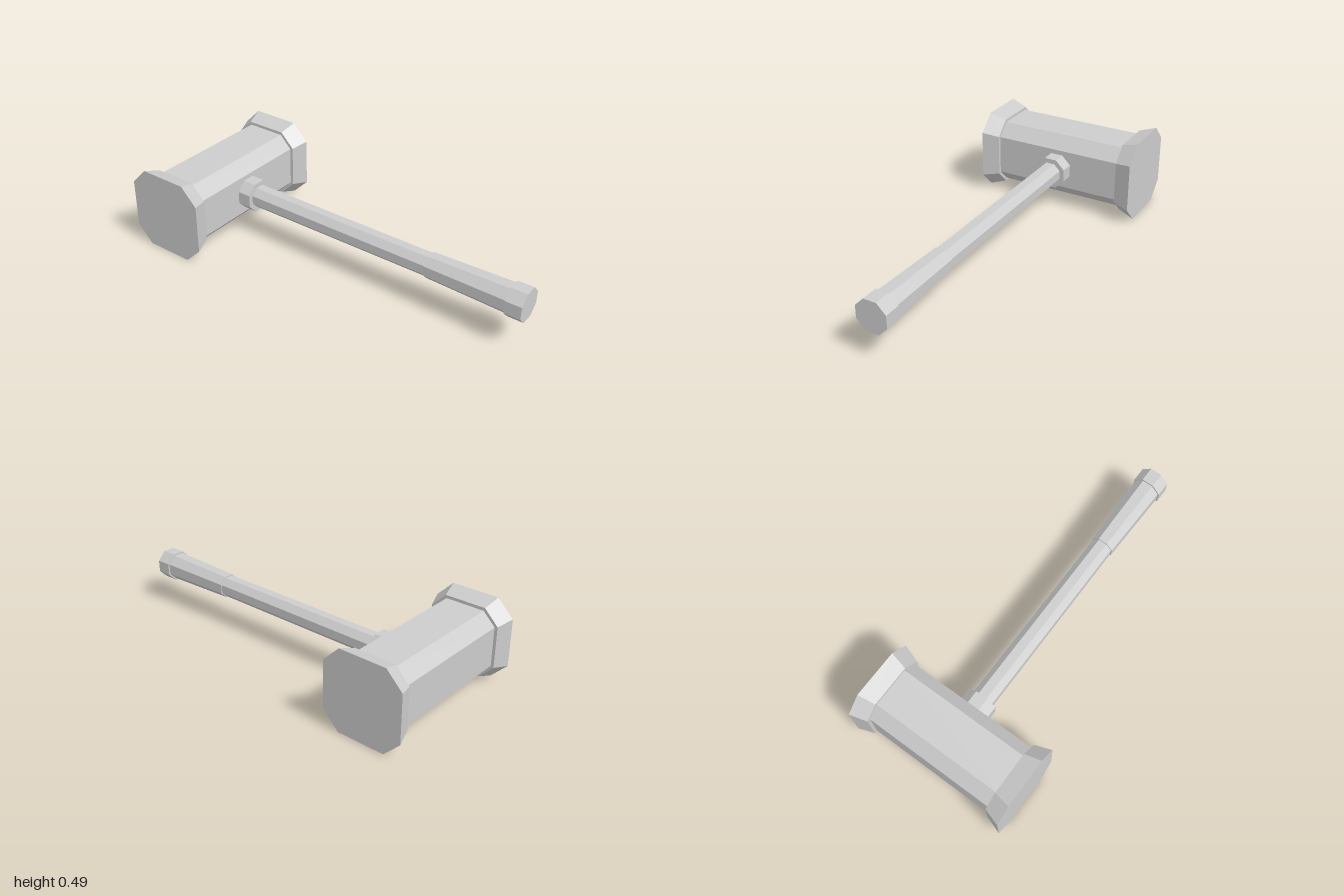
import * as THREE from 'three';

const steel = new THREE.MeshStandardMaterial({ color: 0xcccccc, flatShading: true });
steel.name = 'plain grey';

// Solid along +z through chamfered-square rings: [z, half width, half length of flat side]
function octagonLoft(name, rings) {
  const corners = ([z, r, f]) => [
    [r, -f, z], [r, f, z], [f, r, z], [-f, r, z],
    [-r, f, z], [-r, -f, z], [-f, -r, z], [f, -r, z],
  ];
  const loops = rings.map(corners);
  const pos = [];
  const tri = (a, b, c) => pos.push(...a, ...b, ...c);
  // Side walls
  for (let k = 0; k < loops.length - 1; k++) {
    const a = loops[k], b = loops[k + 1];
    for (let i = 0; i < 8; i++) {
      const j = (i + 1) % 8;
      tri(a[i], a[j], b[j]);
      tri(a[i], b[j], b[i]);
    }
  }
  // End caps
  const first = loops[0], last = loops[loops.length - 1];
  for (let i = 1; i < 7; i++) {
    tri(first[0], first[i + 1], first[i]);
    tri(last[0], last[i], last[i + 1]);
  }
  const geometry = new THREE.BufferGeometry();
  geometry.setAttribute('position', new THREE.Float32BufferAttribute(pos, 3));
  geometry.computeVertexNormals();
  const mesh = new THREE.Mesh(geometry, steel);
  mesh.name = name;
  return mesh;
}

// Ring of a regular octagon
const regular = (z, r) => [z, r, r * Math.tan(Math.PI / 8)];

export function createModel() {
  const model = new THREE.Group();
  model.name = 'hammer';

  // The hammer lies flat, turned 45 degrees
  const body = new THREE.Group();
  body.name = 'hammerBody';
  body.position.y = 0.244;
  body.rotation.y = Math.PI / 4;
  model.add(body);

  // Head: block with a flared striking face at each end
  const head = new THREE.Group();
  head.name = 'head';
  head.position.z = -0.68;
  const block = octagonLoft('headBlock', [[-0.42, 0.193, 0.118], [0.42, 0.193, 0.118]]);
  block.rotation.y = Math.PI / 2;
  head.add(block);
  for (const side of [1, -1]) {
    const face = octagonLoft(side > 0 ? 'leftStrikingFace' : 'rightStrikingFace',
      [[0.395, 0.211, 0.125], [0.495, 0.243, 0.144]]);
    face.rotation.y = side * Math.PI / 2;
    head.add(face);
  }
  body.add(head);

  // Handle: collar, shaft, thicker grip and end cap
  const handle = new THREE.Group();
  handle.name = 'handle';
  handle.add(
    octagonLoft('collar', [regular(-0.52, 0.09), regular(-0.405, 0.09)]),
    octagonLoft('shaft', [regular(-0.45, 0.063), regular(0.78, 0.062)]),
    octagonLoft('grip', [regular(0.76, 0.068), regular(1.25, 0.079)]),
    octagonLoft('endCap', [regular(1.23, 0.088), regular(1.322, 0.088)]),
  );
  body.add(handle);

  return model;
}
